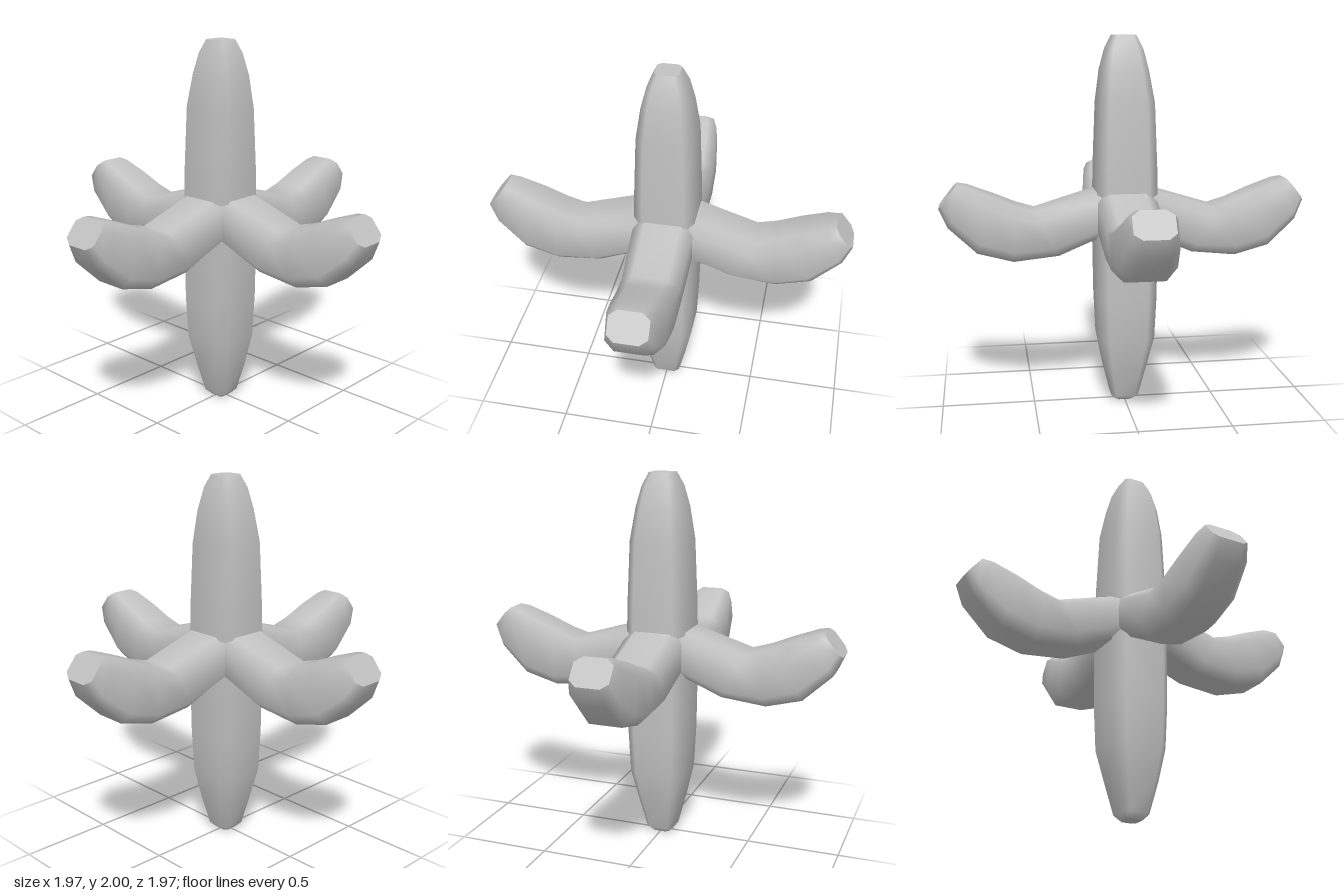
import * as THREE from 'three';

const V = (x, y, z) => new THREE.Vector3(x, y, z);

// Square cross-section with cut corners, eight points, counter-clockwise
const section = (k) => [[1, -k], [1, k], [k, 1], [-k, 1], [-1, k], [-1, -k], [-k, -1], [k, -1]];

// Skin a list of {c, side, up} sections and close both ends
function loft(sections, corner) {
  const outline = section(corner);
  const n = outline.length;
  const rings = sections.map(({ c, side, up }) =>
    outline.map(([a, b]) => c.clone().addScaledVector(side, a).addScaledVector(up, b)));
  const pos = [], index = [];
  const push = (p) => pos.push(p.x, p.y, p.z);
  rings.forEach((ring) => ring.forEach(push));
  for (let i = 0; i < rings.length - 1; i++) {
    for (let k = 0; k < n; k++) {
      const a = i * n + k, b = i * n + (k + 1) % n;
      index.push(a, b, b + n, a, b + n, a + n);
    }
  }
  // End caps have their own corners so their edges stay crisp
  [rings[0], rings[rings.length - 1]].forEach((ring, end) => {
    const s = pos.length / 3;
    ring.forEach(push);
    for (let k = 1; k < n - 1; k++) {
      if (end) index.push(s, s + k, s + k + 1);
      else index.push(s, s + k + 1, s + k);
    }
  });
  const g = new THREE.BufferGeometry();
  g.setAttribute('position', new THREE.Float32BufferAttribute(pos, 3));
  g.setIndex(index);
  g.computeVertexNormals();
  return g;
}

export function createModel() {
  const model = new THREE.Group();
  const grey = new THREE.MeshStandardMaterial({ color: 0xc2c2c2 });
  grey.name = 'lightGrey';

  // Upright spindle: height, half-width, x offset
  const spindle = [
    [0.0, 0.045, 0], [0.03, 0.075, 0], [0.2, 0.115, 0], [0.37, 0.15, -0.005], [0.6, 0.16, -0.005],
    [1.0, 0.165, -0.005], [1.3, 0.16, -0.005], [1.65, 0.147, -0.005], [1.82, 0.122, 0],
    [1.93, 0.095, 0], [2.0, 0.062, 0],
  ].map(([y, r, x]) => ({ c: V(x, y, 0), side: V(0, 0, r), up: V(r, 0, 0) }));
  const body = new THREE.Mesh(loft(spindle, 0.68), grey);
  body.name = 'spindle';
  model.add(body);

  // Upturned arm along +x: top edge x, y, bottom edge x, y, half-width
  const arm = [
    [0, 1.23, 0, 0.96, 0.15], [0.15, 1.185, 0.15, 0.935, 0.16], [0.48, 1.085, 0.36, 0.845, 0.15],
    [0.58, 1.115, 0.6, 0.82, 0.148], [0.71, 1.17, 0.79, 0.87, 0.142],
    [0.84, 1.22, 0.94, 1.01, 0.122], [0.89, 1.23, 0.985, 1.11, 0.1],
  ].map(([tx, ty, bx, by, w]) => ({
    c: V((tx + bx) / 2, (ty + by) / 2, 0),
    side: V(0, 0, -w),
    up: V((tx - bx) / 2, (ty - by) / 2, 0),
  }));
  const armGeometry = loft(arm, 0.6);
  ['leftArm', 'backArm', 'rightArm', 'frontArm'].forEach((name, i) => {
    const mesh = new THREE.Mesh(armGeometry, grey);
    mesh.name = name;
    mesh.rotation.y = i * Math.PI / 2;
    model.add(mesh);
  });

  return model;
}
